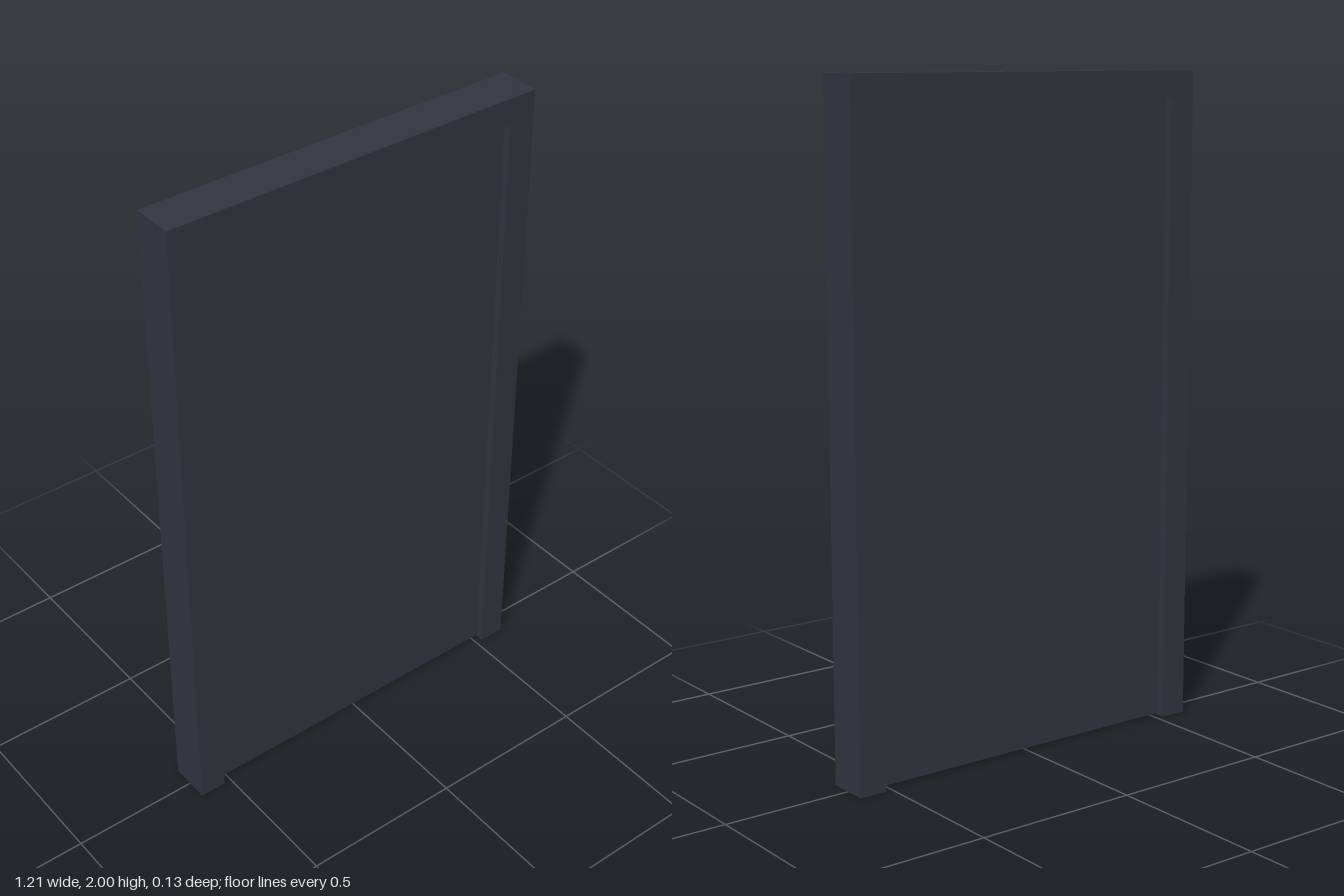
import * as THREE from 'three';

const W = 0.607, H = 2, DEPTH = 0.13; // frame half width, height, depth
const IW = 0.522, IH = 1.917;         // opening half width and height
const PANEL_DEPTH = 0.082, PANEL_LIFT = 0.007;

export function createModel() {
  const group = new THREE.Group();
  const material = new THREE.MeshStandardMaterial({ color: 0x32343f });

  // Door frame: two jambs and a header as one U-shaped extrusion
  const outline = [[-W, 0], [-IW, 0], [-IW, IH], [IW, IH], [IW, 0], [W, 0], [W, H], [-W, H]];
  const shape = new THREE.Shape(outline.map(([x, y]) => new THREE.Vector2(x, y)));
  const frameGeometry = new THREE.ExtrudeGeometry(shape, { depth: DEPTH, bevelEnabled: false });
  frameGeometry.translate(0, 0, -DEPTH / 2);
  const frame = new THREE.Mesh(frameGeometry, material);
  frame.name = 'doorFrame';
  group.add(frame);

  // Door panel: recessed on both faces, just clear of the floor
  const panelHeight = IH - PANEL_LIFT;
  const panel = new THREE.Mesh(new THREE.BoxGeometry(IW * 2, panelHeight, PANEL_DEPTH), material);
  panel.name = 'doorPanel';
  panel.position.y = PANEL_LIFT + panelHeight / 2;
  group.add(panel);

  return group;
}
